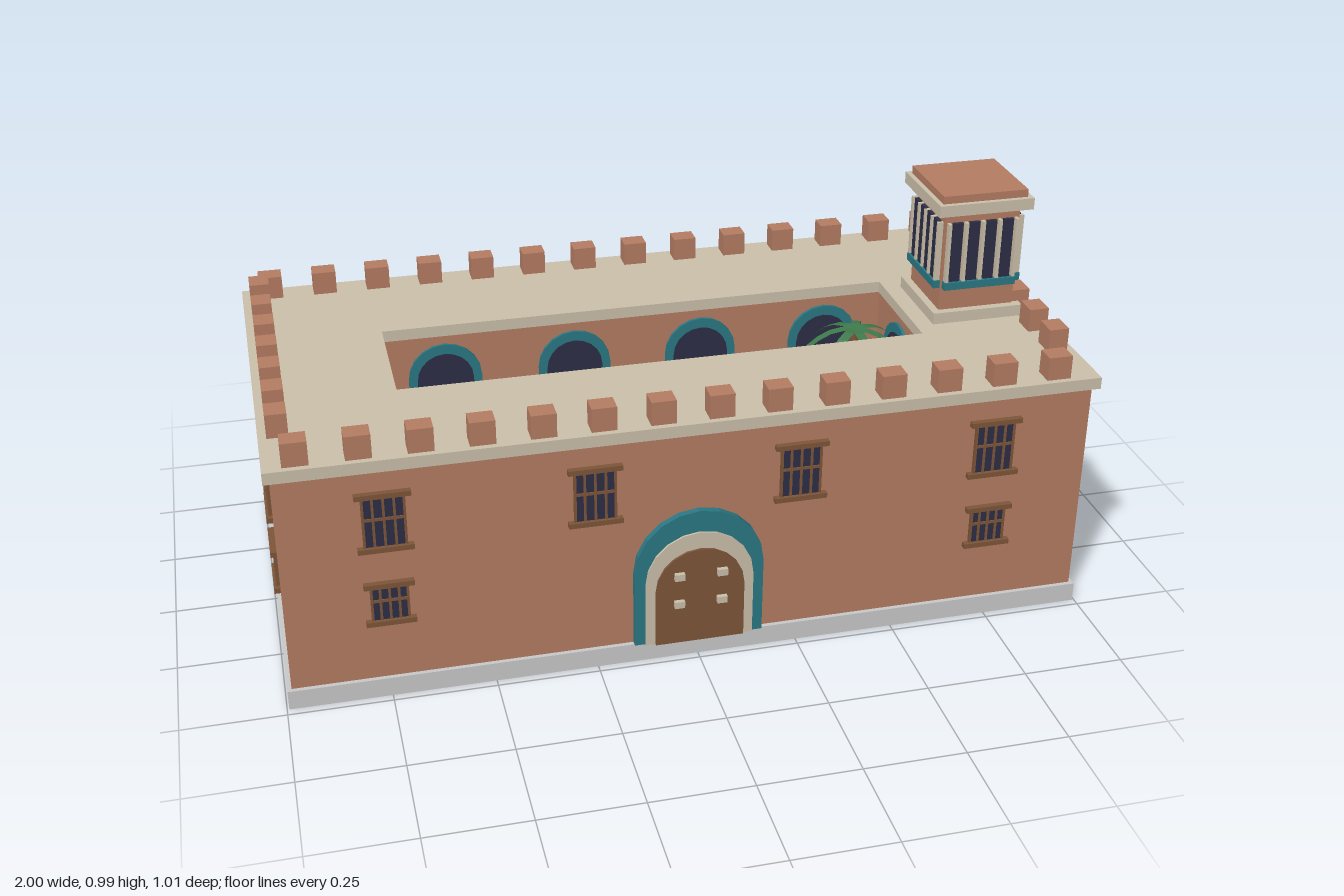
import * as THREE from 'three';

const mat = (name, color, extra = {}) =>
  Object.assign(new THREE.MeshStandardMaterial({ color, ...extra }), { name });

export function createModel() {
  const brick = mat('brick', 0xb47c62);
  const stone = mat('sandstone', 0xcabfaa);
  const grey = mat('grey stone', 0xc8c8c8);
  const teal = mat('teal tile', 0x2a7783);
  const dark = mat('dark glass', 0x2d2d46);
  const wood = mat('wood', 0x7d5538);
  const grass = mat('grass', 0x4d8f5e);
  const leaf = mat('foliage', 0x3f7a4d, { flatShading: true, side: THREE.DoubleSide });
  const bushGreen = mat('bush green', 0x2a6a44, { flatShading: true });
  const water = mat('water', 0x3f8fb5);

  const model = new THREE.Group();
  model.name = 'courtyardFortress';
  const body = new THREE.Group();
  body.name = 'building';
  body.position.z = -0.01;
  model.add(body);

  const add = (parent, name, geo, m, x = 0, y = 0, z = 0) => {
    const mesh = new THREE.Mesh(geo, m);
    mesh.name = name;
    mesh.position.set(x, y, z);
    parent.add(mesh);
    return mesh;
  };
  const box = (p, name, m, w, h, d, x, y, z) => add(p, name, new THREE.BoxGeometry(w, h, d), m, x, y, z);
  // A group whose +z axis points out of a wall
  const place = (name, x, y, z, turn = 0, parent = body) => {
    const g = new THREE.Group();
    g.name = name;
    g.position.set(x, y, z);
    g.rotation.y = turn;
    parent.add(g);
    return g;
  };

  // Rectangular ring around the open courtyard
  const HX = 0.665, HZ = 0.163;
  const rect = (s, a, b) => s.moveTo(-a, -b).lineTo(a, -b).lineTo(a, b).lineTo(-a, b).closePath();
  const ring = (name, m, a, b, y0, y1, hx, hz) => {
    const s = rect(new THREE.Shape(), a, b);
    s.holes.push(rect(new THREE.Path(), hx, hz));
    const g = new THREE.ExtrudeGeometry(s, { depth: y1 - y0, bevelEnabled: false });
    add(body, name, g.rotateX(-Math.PI / 2), m, 0, y0, 0);
  };
  box(body, 'plinth', grey, 1.99, 0.05, 0.98, 0, 0.025, 0);
  ring('walls', brick, 0.985, 0.479, 0.05, 0.615, HX + 0.004, HZ + 0.004);
  ring('roofTerrace', stone, 1, 0.495, 0.615, 0.645, HX, HZ);

  // Battlements
  for (let i = 0; i < 14; i++)
    for (const s of [-1, 1])
      box(body, 'merlon', brick, 0.06, 0.06, 0.05, -0.925 + i * 0.14, 0.675, s * 0.455);
  for (let i = 0; i < 7; i++)
    for (const s of [-1, 1])
      box(body, 'sideMerlon', brick, 0.05, 0.06, 0.06, s * 0.955, 0.675, -0.42 + i * 0.1212);

  // Barred windows
  const barredWindow = (x, z, turn, upper) => {
    const [w, h, y] = upper ? [0.1, 0.155, 0.48] : [0.088, 0.115, 0.26];
    const g = place(upper ? 'upperWindow' : 'lowerWindow', x, y, z, turn);
    box(g, 'glass', dark, w, h - 0.02, 0.006, 0, 0, 0.003);
    for (const k of [-0.48, -0.25, 0, 0.25, 0.48])
      box(g, 'bar', wood, 0.006, h - 0.02, 0.009, k * w, 0, 0.0045);
    box(g, 'crossBar', wood, w, 0.007, 0.009, 0, 0.008, 0.0045);
    for (const s of [-1, 1])
      box(g, s > 0 ? 'lintel' : 'sill', wood, w + 0.03, 0.013, 0.015, 0, s * (h / 2 - 0.0065), 0.0075);
  };
  for (const x of [-0.74, -0.25, 0.25, 0.74]) {
    barredWindow(x, 0.479, 0, true);
    if (Math.abs(x) > 0.5) barredWindow(x, 0.479, 0, false);
    for (const up of [true, false]) barredWindow(x, -0.479, Math.PI, up);
  }
  for (const s of [-1, 1])
    for (const z of [-0.24, 0.24])
      for (const up of [true, false]) barredWindow(s * 0.985, z, s * Math.PI / 2, up);

  // Round-headed panel standing on y = 0, facing +z
  const archPath = (p, r, spring) => {
    p.moveTo(r, 0);
    for (let i = 0; i <= 10; i++) {
      const a = i * Math.PI / 10;
      p.lineTo(r * Math.cos(a), spring + r * Math.sin(a));
    }
    p.lineTo(-r, 0);
    p.closePath();
    return p;
  };
  const arch = (p, name, m, r, spring, depth) =>
    add(p, name, new THREE.ExtrudeGeometry(archPath(new THREE.Shape(), r, spring), { depth, bevelEnabled: false }), m);

  // Main gate
  const gate = place('mainGate', 0, 0.05, 0.479);
  arch(gate, 'gateSurround', teal, 0.16, 0.2, 0.017);
  arch(gate, 'gateArch', stone, 0.134, 0.17, 0.022);
  arch(gate, 'door', wood, 0.11, 0.15, 0.028);
  for (const x of [-0.053, 0.053])
    for (const y of [0.115, 0.193]) box(gate, 'doorStud', stone, 0.025, 0.018, 0.012, x, y, 0.033);

  // Courtyard arches on two storeys
  const courtArch = (x, z, turn) => {
    for (const y of [0.05, 0.35]) {
      const g = place('courtyardArch', x, y, z, turn);
      arch(g, 'archSurround', teal, 0.095, 0.147, 0.008);
      arch(g, 'archOpening', dark, 0.073, 0.143, 0.01);
    }
  };
  for (const x of [-0.51, -0.17, 0.17, 0.51]) {
    courtArch(x, -HZ - 0.004, 0);
    courtArch(x, HZ + 0.004, Math.PI);
  }
  for (const s of [-1, 1]) courtArch(s * (HX + 0.004), 0, -s * Math.PI / 2);

  // Garden and fountain
  box(body, 'lawn', grass, 1.2, 0.008, 0.176, 0, 0.054, 0);
  for (const x of [-0.585, 0.585])
    for (const z of [-0.075, 0.075]) box(body, 'bollard', grey, 0.022, 0.06, 0.022, x, 0.08, z);
  const fountain = place('fountain', 0, 0.05, 0);
  const cyl = (p, name, m, r0, r1, h, y, n = 8) => {
    const c = add(p, name, new THREE.CylinderGeometry(r0, r1, h, n), m, 0, y, 0);
    c.rotation.y = Math.PI / 8;
  };
  cyl(fountain, 'basin', grey, 0.092, 0.092, 0.04, 0.02);
  cyl(fountain, 'water', water, 0.08, 0.08, 0.006, 0.041);
  cyl(fountain, 'pedestal', grey, 0.02, 0.025, 0.09, 0.08);
  cyl(fountain, 'bowl', grey, 0.055, 0.02, 0.025, 0.125, 12);
  cyl(fountain, 'finial', grey, 0.012, 0.016, 0.04, 0.155);

  // Bushes and round trees
  const ball = (p, name, m, r, y) => add(p, name, new THREE.SphereGeometry(r, 6, 4), m, 0, y, 0);
  const bush = (x, z) => {
    const g = place('bush', x, 0.05, z);
    cyl(g, 'stem', wood, 0.008, 0.01, 0.04, 0.02, 6);
    ball(g, 'bushCrown', bushGreen, 0.034, 0.06);
  };
  for (let i = 0; i < 6; i++) for (const s of [-1, 1]) bush(-0.565 + i * 0.226, s * 0.131);
  for (const s of [-1, 1]) bush(s * 0.632, 0);
  for (const x of [-0.42, 0.42]) {
    const g = place('tree', x, 0.05, 0);
    cyl(g, 'trunk', wood, 0.018, 0.026, 0.3, 0.15, 6);
    ball(g, 'treeCrown', leaf, 0.13, 0.37);
  }

  // Palm
  const palm = place('palm', 0.56, 0.05, -0.045);
  cyl(palm, 'palmTrunk', wood, 0.014, 0.022, 0.52, 0.26, 6);
  for (let i = 0; i < 7; i++) {
    const frond = new THREE.PlaneGeometry(0.13, 0.026, 4, 1).rotateX(-Math.PI / 2).translate(0.065, 0, 0);
    const p = frond.attributes.position;
    for (let k = 0; k < p.count; k++) p.setY(k, 0.25 * p.getX(k) - 5 * p.getX(k) ** 2);
    frond.computeVertexNormals();
    add(palm, 'frond', frond, leaf, 0, 0.52, 0).rotation.y = i * Math.PI * 2 / 7 + 0.3;
  }

  // Tower
  const tower = place('tower', 0.83, 0, 0);
  box(tower, 'towerPlinth', stone, 0.24, 0.03, 0.24, 0, 0.66, 0);
  box(tower, 'towerShaft', brick, 0.2, 0.27, 0.2, 0, 0.805, 0);
  box(tower, 'towerCornice', stone, 0.25, 0.03, 0.25, 0, 0.955, 0);
  box(tower, 'towerCap', brick, 0.224, 0.02, 0.224, 0, 0.98, 0);
  for (let i = 0; i < 4; i++) {
    const face = place('belfryFace', 0, 0, 0, i * Math.PI / 2, tower);
    box(face, 'ledge', teal, 0.192, 0.02, 0.025, 0, 0.745, 0.1045);
    for (const x of [-0.0675, -0.0225, 0.0225, 0.0675])
      box(face, 'belfryOpening', dark, 0.026, 0.158, 0.01, x, 0.835, 0.107);
    for (const x of [-0.09, -0.045, 0, 0.045, 0.09])
      box(face, 'colonnette', stone, 0.008, 0.158, 0.015, x, 0.835, 0.1085);
  }
  return model;
}
